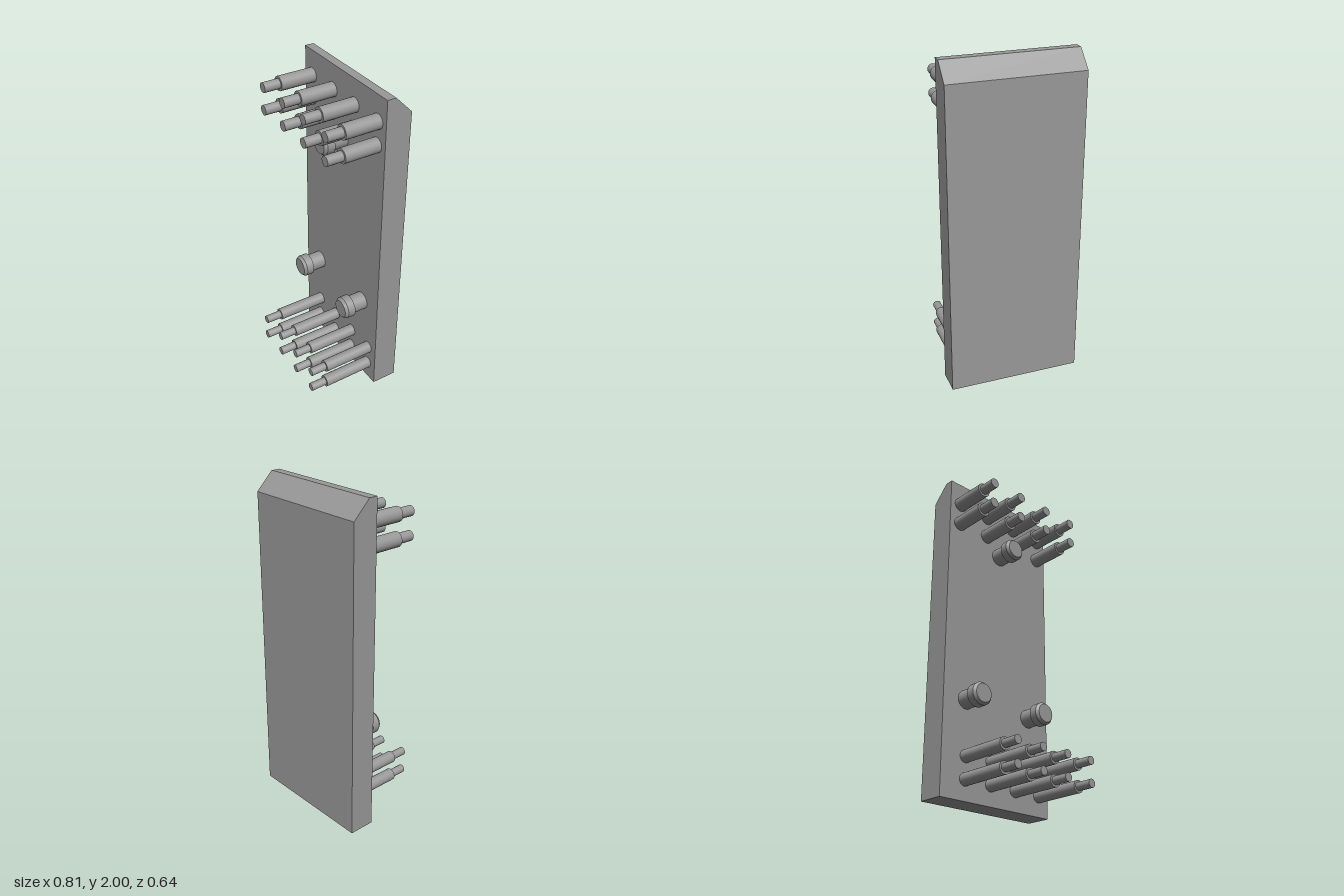
import * as THREE from 'three';

const material = new THREE.MeshStandardMaterial({ color: 0x999999 });

// Round bar along +z from z0 to z1, optionally tapering to another radius
function bar(name, z0, z1, r0, r1 = r0) {
  const geometry = new THREE.CylinderGeometry(r1, r0, z1 - z0, 32);
  geometry.rotateX(Math.PI / 2);
  geometry.translate(0, 0, (z0 + z1) / 2);
  const mesh = new THREE.Mesh(geometry, material);
  mesh.name = name;
  return mesh;
}

// Stepped pin: thick sleeve with a thinner tip
function createPin(name, sleeveEnd, tipEnd, sleeveRadius, tipRadius) {
  const pin = new THREE.Group();
  pin.name = name;
  pin.add(bar('pinSleeve', -0.01, sleeveEnd, sleeveRadius));
  pin.add(bar('pinTip', sleeveEnd - 0.01, tipEnd, tipRadius));
  return pin;
}

// Mounting stud: stem with a wider, bevelled head
function createStud() {
  const stud = new THREE.Group();
  stud.name = 'mountingStud';
  stud.add(bar('studStem', -0.01, 0.1, 0.055));
  stud.add(bar('studHead', 0.092, 0.14, 0.068));
  stud.add(bar('studBevel', 0.14, 0.157, 0.068, 0.055));
  return stud;
}

export function createModel() {
  const model = new THREE.Group();
  model.name = 'pinPanel';

  // Everything sits on the panel's front face, turned slightly about y
  const body = new THREE.Group();
  body.name = 'panelAssembly';
  body.position.set(-0.0065, 0, -0.13);
  body.rotation.y = -0.0768;
  model.add(body);

  // Panel: side profile with a chamfered top back edge, extruded across x
  const width = 0.805;
  const profile = new THREE.Shape([
    [0, 0], [0.158, 0], [0.158, 1.896], [0.054, 2], [0, 2],
  ].map(([depth, y]) => new THREE.Vector2(depth, y)));
  const panelGeometry = new THREE.ExtrudeGeometry(profile, { depth: width, bevelEnabled: false });
  panelGeometry.translate(0, 0, -width / 2);
  panelGeometry.rotateY(Math.PI / 2);
  const panel = new THREE.Mesh(panelGeometry, material);
  panel.name = 'panel';
  body.add(panel);

  // Two rows of four pins at the top and two at the bottom
  for (let column = 0; column < 4; column++) {
    for (const y of [1.85, 1.711]) {
      const pin = createPin('upperPin', 0.222, 0.322, 0.0435, 0.03);
      pin.position.set(-0.326 + column * 0.2177, y, 0);
      body.add(pin);
    }
    for (const y of [0.25, 0.12]) {
      const pin = createPin('lowerPin', 0.322, 0.422, 0.037, 0.025);
      pin.position.set(-0.234 + column * 0.1863, y, 0);
      body.add(pin);
    }
  }

  // Three studs in a triangle
  for (const [x, y] of [[0, 1.6], [-0.241, 0.577], [0.241, 0.577]]) {
    const stud = createStud();
    stud.position.set(x, y, 0);
    body.add(stud);
  }
  return model;
}
